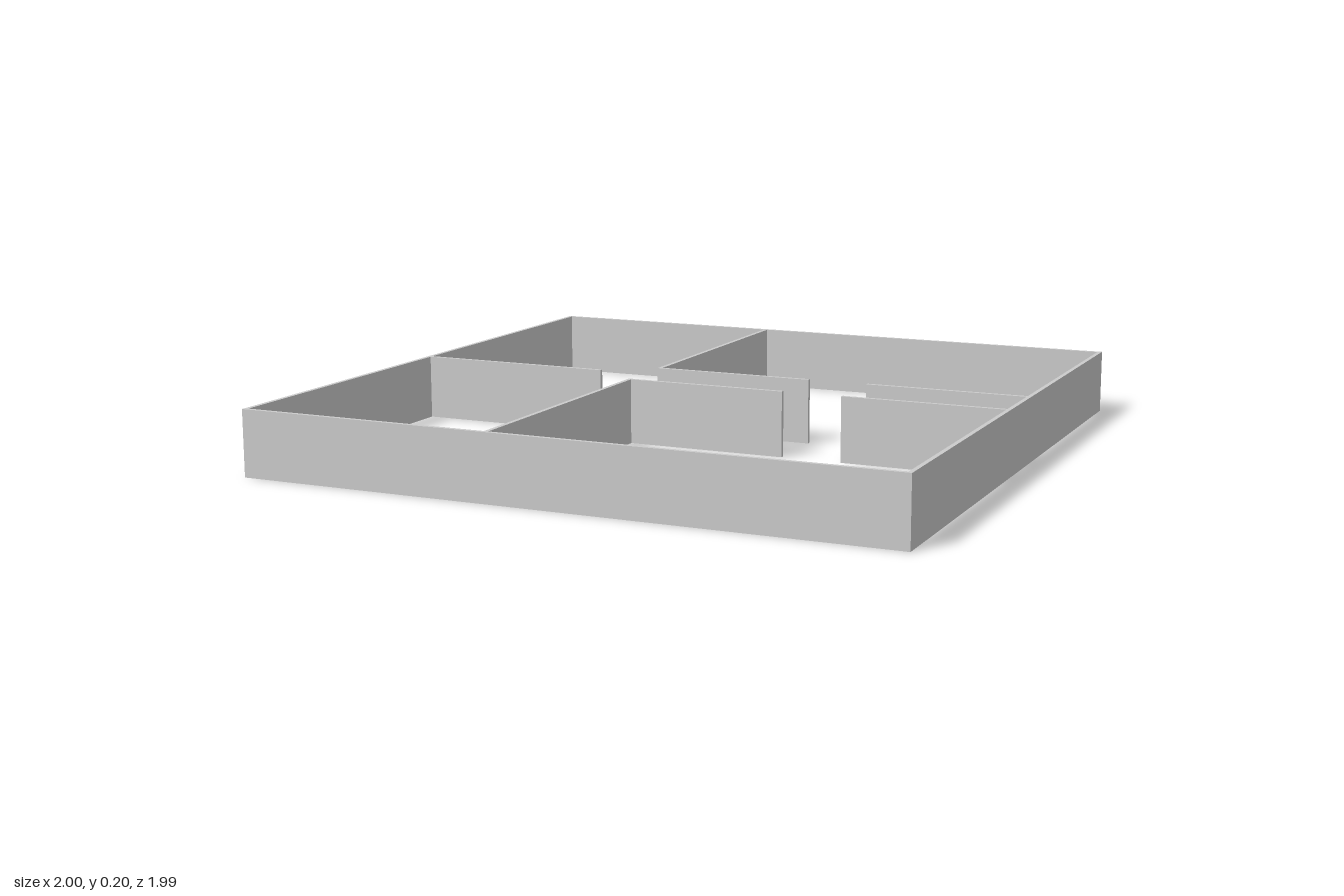
import * as THREE from 'three';

const HEIGHT = 0.2, T = 0.013; // wall height and thickness
const X = 1, Z = 0.995;        // half extents of the plan

export function createModel() {
  const house = new THREE.Group();
  house.name = 'floorPlanWalls';
  const material = new THREE.MeshStandardMaterial({ color: 0xcccccc, flatShading: true });

  // A straight wall filling a rectangle of the plan
  function wall(name, x0, x1, z0, z1) {
    const mesh = new THREE.Mesh(new THREE.BoxGeometry(x1 - x0, HEIGHT, z1 - z0), material);
    mesh.position.set((x0 + x1) / 2, HEIGHT / 2, (z0 + z1) / 2);
    mesh.name = name;
    house.add(mesh);
  }

  // Wall running along x, mirrored front to back; z is its inner face
  const alongX = (name, x0, x1, z) => {
    wall(name + 'Front', x0, x1, z, z + T);
    wall(name + 'Back', x0, x1, -z - T, -z);
  };

  // Outer walls
  alongX('outerWall', -X, X, Z - T);
  wall('outerWallRight', -X, -X + T, -Z + T, Z - T);
  wall('outerWallLeft', X - T, X, -Z + T, Z - T);

  // Corridor walls, with a doorway between the two pieces
  const corridor = 0.102, partitionX = -0.214;
  alongX('corridorWallInner', partitionX, 0.3, corridor);
  alongX('corridorWallOuter', 0.488, X - T, corridor);

  // Partitions from the corridor corners to the outer walls
  wall('partitionFront', partitionX, partitionX + T, corridor + T, Z - T);
  wall('partitionBack', partitionX, partitionX + T, -Z + T, -corridor - T);

  // Divider between the two rooms on the right
  wall('roomDivider', -X + T, -0.362, -T / 2, T / 2);

  return house;
}
